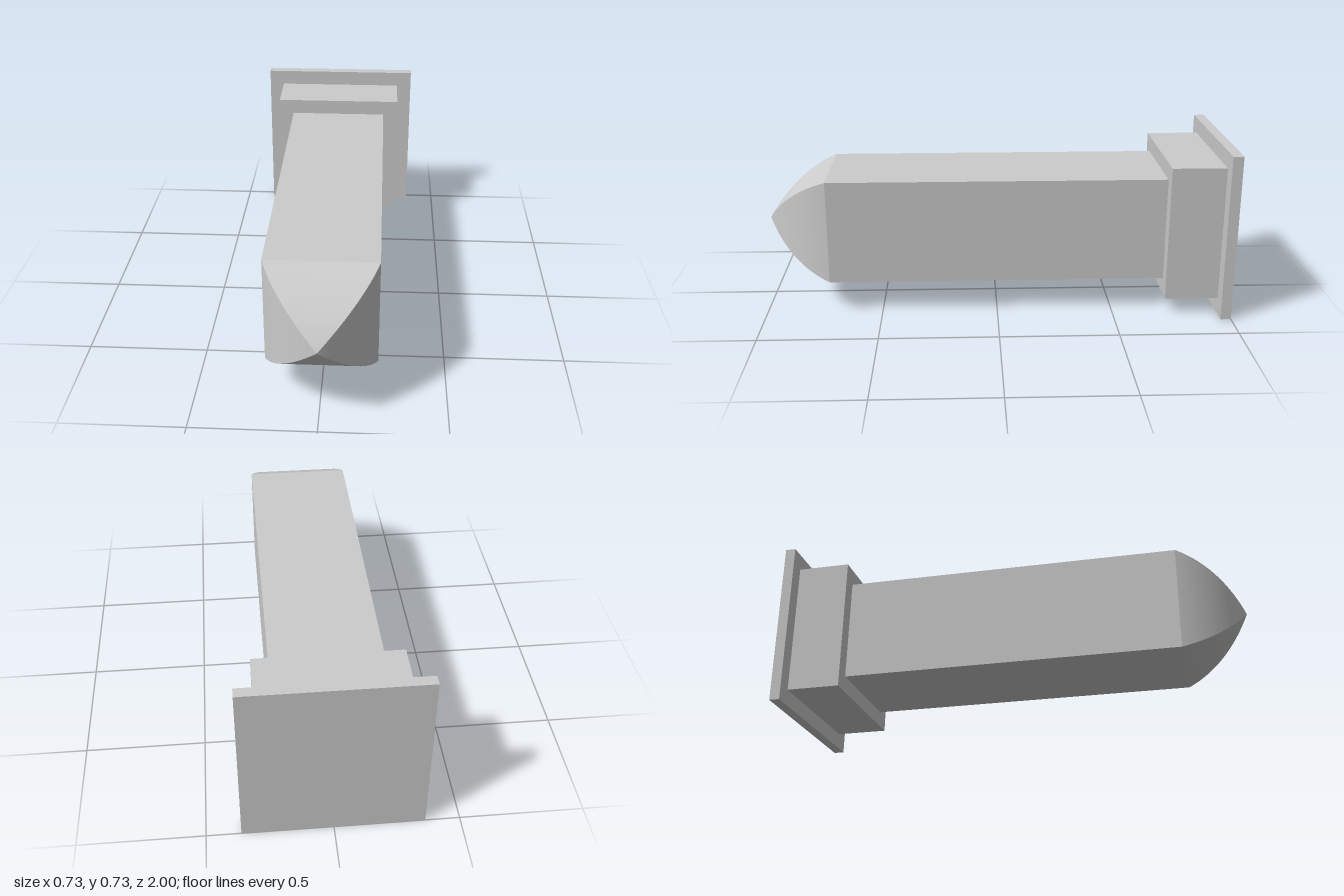
import * as THREE from 'three';

const material = new THREE.MeshStandardMaterial({ color: 0xcccccc });
const HALF = 0.225, SHOULDER = 0.725, CENTRE_Y = 0.3625;

// Square block along z
function block(name, size, z0, z1) {
  const mesh = new THREE.Mesh(new THREE.BoxGeometry(size, size, z1 - z0), material);
  mesh.name = name;
  mesh.position.set(0, CENTRE_Y, (z0 + z1) / 2);
  return mesh;
}

// One curved triangular side of the tip, following a circular arc to the point
function tipSideGeometry(steps = 24) {
  const length = 1 - SHOULDER;
  const middle = Math.atan2(HALF, length), spread = THREE.MathUtils.degToRad(20);
  const radius = Math.hypot(HALF, length) / (2 * Math.sin(spread));
  const start = middle - spread;
  const points = [], indices = [];
  for (let i = 0; i <= steps; i++) {
    const a = start + (2 * spread * i) / steps;
    const z = SHOULDER + radius * (Math.sin(a) - Math.sin(start));
    const w = i === steps ? 0 : HALF + radius * (Math.cos(a) - Math.cos(start));
    points.push(-w, w, z, w, w, z);
    if (i === steps) break;
    const k = i * 2;
    indices.push(k, k + 2, k + 1);
    if (i < steps - 1) indices.push(k + 1, k + 2, k + 3);
    else indices[indices.length - 2] = k + 2;
  }
  const geometry = new THREE.BufferGeometry();
  geometry.setAttribute('position', new THREE.Float32BufferAttribute(points, 3));
  geometry.setIndex(indices);
  geometry.computeVertexNormals();
  return geometry;
}

export function createModel() {
  const model = new THREE.Group();
  model.name = 'squarePeg';

  // Stepped base and shaft
  model.add(
    block('backPlate', 0.725, -1, -0.955),
    block('collar', 0.587, -0.955, -SHOULDER),
    block('shaft', HALF * 2, -SHOULDER, SHOULDER)
  );

  // Pointed tip with four curved sides
  const tip = new THREE.Group();
  tip.name = 'tip';
  tip.position.y = CENTRE_Y;
  const side = tipSideGeometry();
  for (let i = 0; i < 4; i++) {
    const mesh = new THREE.Mesh(side, material);
    mesh.name = 'tipSide';
    mesh.rotation.z = (i * Math.PI) / 2;
    tip.add(mesh);
  }
  model.add(tip);
  return model;
}
